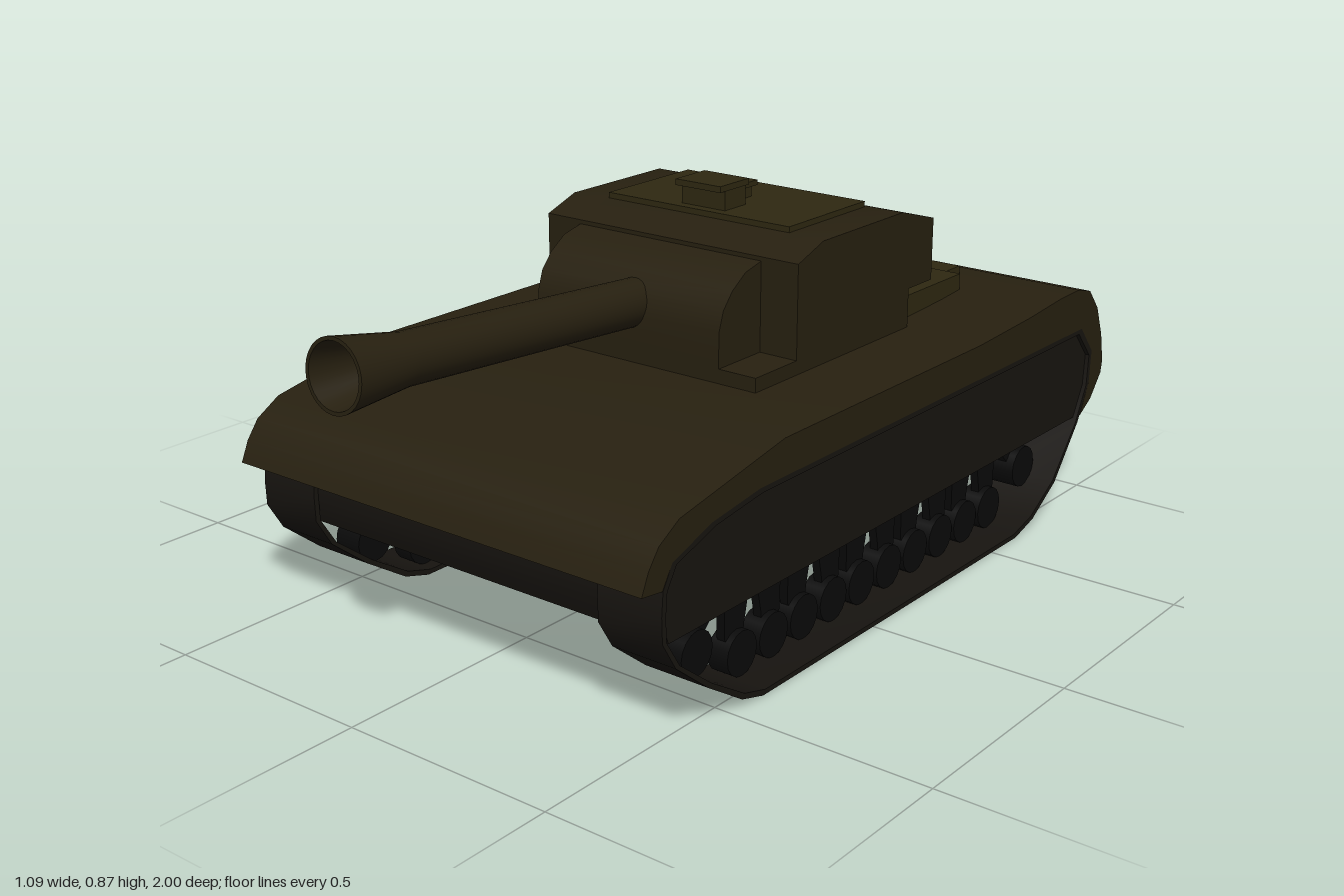
import * as THREE from 'three';
import { toCreasedNormals } from 'three/addons/utils/BufferGeometryUtils.js';

const mat = (color) => new THREE.MeshStandardMaterial({ color });
const olive = mat(0x272010), lightOlive = mat(0x2e2811), dark = mat(0x171410), black = mat(0x0a0a0a);

export function createModel() {
  const tank = new THREE.Group();
  tank.name = 'tank';

  const add = (name, geo, material, parent = tank) => {
    const m = new THREE.Mesh(geo, material);
    m.name = name;
    parent.add(m);
    return m;
  };
  const toShape = (pts) => new THREE.Shape(pts.map(([z, y]) => new THREE.Vector2(z, y)));

  // Side profile in (z, y), extruded across x from x0 to x1
  const slab = (shape, x0, x1) => {
    const g = new THREE.ExtrudeGeometry(shape, { depth: x1 - x0, bevelEnabled: false, curveSegments: 6 });
    return toCreasedNormals(g.rotateY(-Math.PI / 2).translate(x1, 0, 0), 0.6);
  };
  const box = (name, w, y0, y1, z0, z1, material, parent) => {
    const m = add(name, new THREE.BoxGeometry(w, y1 - y0, z1 - z0), material, parent);
    m.position.set(0, (y0 + y1) / 2, (z0 + z1) / 2);
  };
  // Cylinder lying along x
  const roller = (name, r, width, x, y, z, parent) => {
    const g = new THREE.CylinderGeometry(r, r, width, 16).rotateZ(Math.PI / 2);
    add(name, g, black, parent).position.set(x, y, z);
  };

  // Upper hull: armoured shell wrapping over the front and the back
  add('upperHull', slab(toShape([
    [0.78, 0.35], [0.76, 0.395], [0.73, 0.435], [0.67, 0.47], [0.34, 0.53], [-0.4, 0.53], [-0.62, 0.54],
    [-0.76, 0.551], [-0.85, 0.553], [-0.91, 0.537], [-0.955, 0.485], [-0.985, 0.41], [-1, 0.34], [-0.995, 0.31],
    [-0.95, 0.255], [-0.9, 0.225], [-0.935, 0.3], [-0.94, 0.38], [-0.88, 0.45],
    [0.42, 0.45], [0.57, 0.43], [0.69, 0.39], [0.72, 0.342]
  ]), -0.545, 0.545), olive);

  // Lower hull box between and above the running gear
  add('lowerHull', slab(toShape([
    [0.7, 0.38], [0.57, 0.425], [0.42, 0.445], [-0.88, 0.445], [-0.935, 0.38], [-0.93, 0.3],
    [-0.895, 0.222], [0.69, 0.222], [0.71, 0.28], [0.71, 0.34]
  ]), -0.535, 0.535), dark);

  // Raised engine deck in two steps
  box('engineDeck', 0.62, 0.52, 0.585, -0.7, -0.4, lightOlive);
  box('engineDeckStep', 0.5, 0.52, 0.572, -0.8, -0.7, lightOlive);

  // Turret: cheeks on both sides of a centre block with an undercut rear
  const turret = new THREE.Group();
  turret.name = 'turret';
  tank.add(turret);
  box('turretBase', 0.69, 0.52, 0.562, -0.3, 0.165, olive, turret);
  const roofLine = [[0.02, 0.53], [0.02, 0.772], [-0.07, 0.803], [-0.38, 0.803], [-0.51, 0.765]];
  const cheek = toShape([...roofLine, [-0.51, 0.62], [-0.415, 0.62], [-0.415, 0.53]]);
  add('turretCheek', slab(cheek, 0.25, 0.345), olive, turret);
  add('turretCheek', slab(cheek, -0.345, -0.25), olive, turret);
  add('turretCentre', slab(toShape([
    ...roofLine, [-0.5, 0.71], [-0.475, 0.65], [-0.43, 0.6], [-0.415, 0.53]
  ]), -0.25, 0.25), olive, turret);
  add('mantlet', slab(toShape([
    [0.165, 0.56], [0.165, 0.64], [0.15, 0.685], [0.12, 0.72], [0.075, 0.75], [0.01, 0.765], [0.01, 0.56]
  ]), -0.25, 0.25), olive, turret);
  box('roofPlate', 0.5, 0.79, 0.816, -0.37, -0.08, lightOlive, turret);
  box('cupola', 0.12, 0.81, 0.864, -0.18, -0.105, lightOlive, turret);
  box('cupolaLid', 0.124, 0.86, 0.874, -0.19, -0.085, lightOlive, turret);
  box('periscope', 0.05, 0.81, 0.842, -0.25, -0.175, lightOlive, turret);
  box('periscopeLid', 0.06, 0.84, 0.852, -0.265, -0.175, lightOlive, turret);

  // Gun barrel with flared, hollow muzzle
  const barrelLength = 0.9;
  const barrel = [[0, 0], [0.053, 0], [0.053, 0.3], [0.054, 0.73], [0.075, barrelLength],
    [0.067, barrelLength], [0.048, barrelLength - 0.12], [0, barrelLength - 0.12]];
  const gun = add('gunBarrel', toCreasedNormals(new THREE.LatheGeometry(
    barrel.map(([r, l]) => new THREE.Vector2(r, l)), 28), 0.5), olive, turret);
  gun.position.set(0, 0.652, 0.098);
  gun.rotation.x = Math.PI / 2 - 0.07;

  // Track belt: thin closed loop, inner outline wound opposite to the outer one
  const loop = [
    [0.718, 0.342], [0.722, 0.29], [0.72, 0.235], [0.68, 0.17], [0.58, 0.09], [0.47, 0.02], [0.4, 0],
    [-0.61, 0], [-0.69, 0.022], [-0.79, 0.085], [-0.89, 0.21], [-0.935, 0.3],
    [-0.94, 0.38], [-0.88, 0.45], [0.42, 0.45], [0.57, 0.43], [0.69, 0.39]
  ];
  const beltShape = toShape(loop);
  beltShape.holes.push(new THREE.Path(loop.map(([z, y]) =>
    new THREE.Vector2((z + 0.11) * 0.985 - 0.11, 0.22 + (y - 0.22) * 0.95)).reverse()));
  const beltGeo = slab(beltShape, -0.0775, 0.0775);

  // Suspension bracket: top bar with a small hole and two legs
  const bracket = toShape([
    [-0.097, 0.23], [0.097, 0.23], [0.094, 0.1], [0.075, 0.07], [0.035, 0.07], [0.028, 0.12],
    [0.018, 0.165], [-0.018, 0.165], [-0.028, 0.12], [-0.035, 0.07], [-0.075, 0.07], [-0.094, 0.1]
  ]);
  bracket.holes.push(new THREE.Path().absarc(0, 0.197, 0.013, 0, Math.PI * 2, false));
  const bracketGeo = slab(bracket, -0.01, 0.01);

  // Running gear, repeated on both sides
  for (const [side, label] of [[1, 'left'], [-1, 'right']]) {
    const gear = new THREE.Group();
    gear.name = label + 'RunningGear';
    gear.position.x = side * 0.4675;
    tank.add(gear);
    add('trackBelt', beltGeo, dark, gear);
    const inset = -side * 0.02;

    for (let i = 0; i < 5; i++) {
      const z = 0.319 - i * 0.2172;
      add('suspensionBracket', bracketGeo, black, gear).position.set(inset, 0, z);
      for (const dz of [0.0543, -0.0543]) roller('roadWheel', 0.05, 0.05, inset, 0.06, z + dz, gear);
    }
    // End wheels on slanted arms
    for (const [z, lean] of [[0.535, -1], [-0.743, 1]]) {
      roller('endWheel', 0.05, 0.07, inset, 0.125, z, gear);
      const arm = add('endWheelArm', new THREE.BoxGeometry(0.03, 0.17, 0.04), black, gear);
      arm.position.set(inset, 0.178, z + lean * 0.05);
      arm.rotation.x = lean * 0.8;
    }
  }
  return tank;
}
